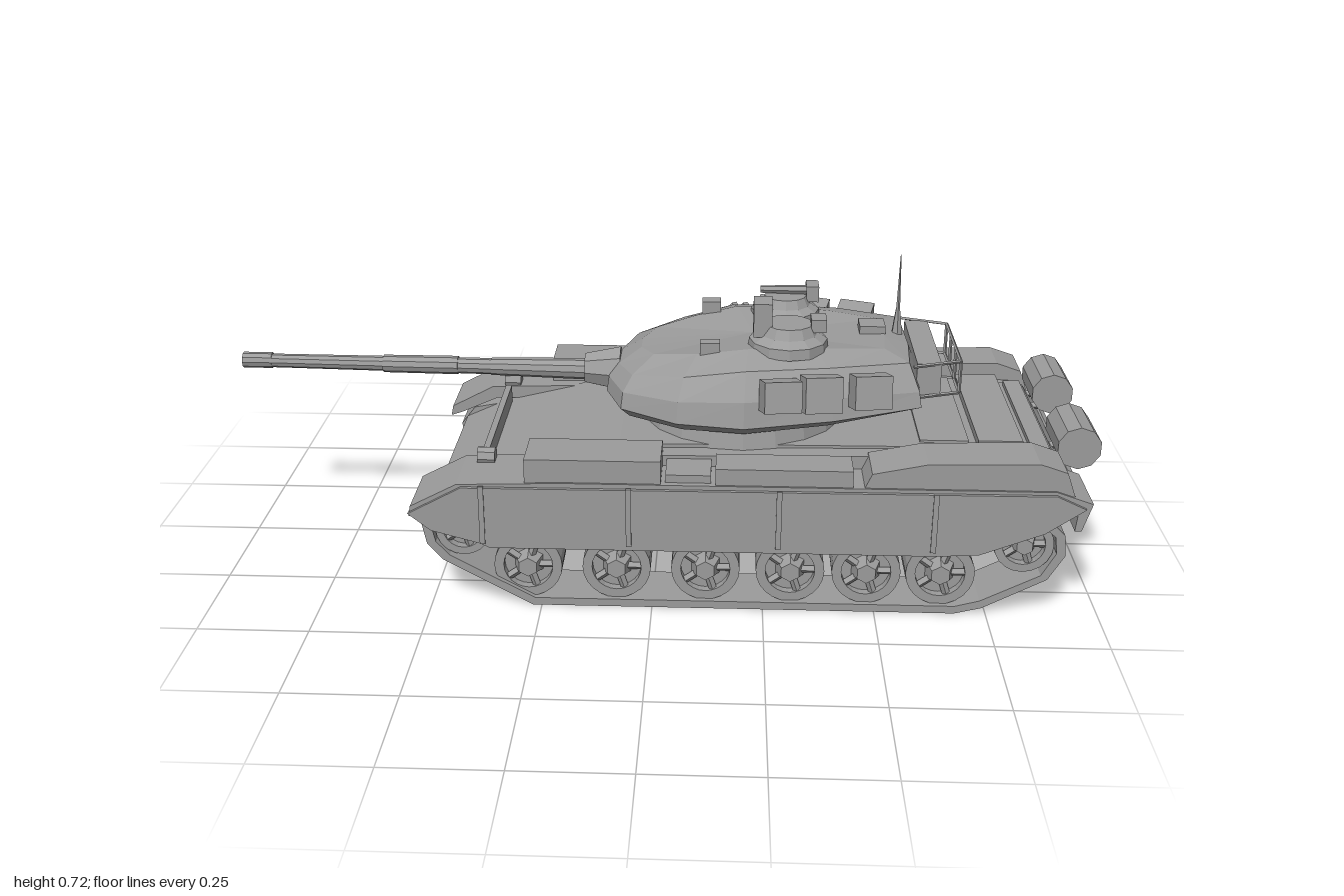
import * as THREE from 'three';

const steel = new THREE.MeshStandardMaterial({ color: 0x9c9c9c });
steel.name = 'steel grey';

export function createModel() {
  const root = new THREE.Group();
  root.name = 'tank';

  // faceted mesh added to the model
  const add = (name, geo) => {
    const g = geo.index ? geo.toNonIndexed() : geo;
    g.computeVertexNormals();
    const m = new THREE.Mesh(g, steel);
    m.name = name;
    root.add(m);
    return m;
  };
  // box given by its min and max corners
  const box = (name, x0, x1, y0, y1, z0, z1) => {
    const m = add(name, new THREE.BoxGeometry(x1 - x0, y1 - y0, z1 - z0));
    m.position.set((x0 + x1) / 2, (y0 + y1) / 2, (z0 + z1) / 2);
    return m;
  };
  const shapeOf = pts => new THREE.Shape(pts.map(p => new THREE.Vector2(p[0], p[1])));
  // side profile pulled across a z range
  const slab = (name, pts, z0, z1, hole) => {
    const s = shapeOf(pts);
    if (hole) s.holes.push(shapeOf(hole));
    const g = new THREE.ExtrudeGeometry(s, { depth: z1 - z0, bevelEnabled: false });
    return add(name, g.translate(0, 0, z0));
  };
  const both = fn => [1, -1].forEach(fn);
  const span = (s, a, b) => (s > 0 ? [a, b] : [-b, -a]);
  // tapered bar between two points
  const rod = (name, a, b, ra, rb, n = 6) => {
    const A = new THREE.Vector3(...a), B = new THREE.Vector3(...b), d = B.clone().sub(A);
    const m = add(name, new THREE.CylinderGeometry(rb, ra, d.length(), n));
    m.position.copy(A).add(B).multiplyScalar(0.5);
    m.quaternion.setFromUnitVectors(new THREE.Vector3(0, 1, 0), d.normalize());
    return m;
  };
  // skin over stacked rings, capped at both ends
  const loft = (name, rings) => {
    const v = [], n = rings[0].length;
    const tri = (...p) => p.forEach(q => v.push(...q));
    const mid = r => [0, 1, 2].map(k => r.reduce((t, p) => t + p[k], 0) / n);
    const lo = rings[0], hi = rings[rings.length - 1];
    for (let i = 0; i < n; i++) {
      const j = (i + 1) % n;
      for (let k = 0; k + 1 < rings.length; k++) {
        const a = rings[k], b = rings[k + 1];
        tri(a[i], a[j], b[j]);
        tri(a[i], b[j], b[i]);
      }
      tri(mid(lo), lo[j], lo[i]);
      tri(mid(hi), hi[i], hi[j]);
    }
    const g = new THREE.BufferGeometry();
    g.setAttribute('position', new THREE.Float32BufferAttribute(v, 3));
    return add(name, g);
  };

  // hull
  slab('hull', [[-0.36, 0.105], [0.82, 0.105], [0.89, 0.19], [0.93, 0.29], [0.9, 0.33], [0.62, 0.35],
    [-0.08, 0.345], [-0.39, 0.27], [-0.5, 0.22], [-0.48, 0.18]], -0.225, 0.225);
  slab('upperHull', [[-0.32, 0.28], [0.9, 0.28], [0.88, 0.33], [0.6, 0.345], [-0.08, 0.335]], -0.27, 0.27);
  box('splashBoard', -0.395, -0.38, 0.25, 0.315, -0.2, 0.2);
  box('rearGrille', 0.73, 0.83, 0.33, 0.36, -0.21, 0.21);
  box('rearDeckBar', 0.85, 0.89, 0.32, 0.345, -0.21, 0.21);
  box('engineCover', 0.6, 0.71, 0.33, 0.355, -0.2, 0.2);
  rod('rearLog', [0.935, 0.275, -0.24], [0.935, 0.275, 0.24], 0.016, 0.016);

  const wheelX = [-0.28, -0.08, 0.12, 0.31, 0.48, 0.645];
  const trackOuter = [[-0.27, 0], [0.68, 0], [0.74, 0.015], [0.88, 0.09], [0.915, 0.15], [0.91, 0.2],
    [0.86, 0.25], [0.78, 0.26], [-0.4, 0.26], [-0.48, 0.245], [-0.515, 0.2], [-0.505, 0.15], [-0.47, 0.11]];
  const trackInner = [[-0.265, 0.018], [0.68, 0.018], [0.735, 0.033], [0.865, 0.1], [0.895, 0.155], [0.89, 0.195],
    [0.85, 0.23], [0.78, 0.24], [-0.4, 0.24], [-0.47, 0.228], [-0.495, 0.2], [-0.485, 0.155], [-0.455, 0.122]];

  both(s => {
    const z = (a, b) => span(s, a, b);
    slab('track', trackOuter, ...z(0.222, 0.358), trackInner);

    // road wheels, each with a rim, a dished disc and a hub
    const wheel = (name, x, y, r, n) => {
      const ring = new THREE.Shape().absarc(0, 0, r, 0, Math.PI * 2);
      ring.holes.push(new THREE.Path().absarc(0, 0, r * 0.72, 0, Math.PI * 2, true));
      const g = new THREE.ExtrudeGeometry(ring, { depth: 0.11, bevelEnabled: false, curveSegments: n });
      add(name + 'Rim', g.translate(x, y, z(0.235, 0.345)[0]));
      rod(name + 'Disc', [x, y, s * 0.24], [x, y, s * 0.325], r * 0.8, r * 0.75, n);
      rod(name + 'Hub', [x, y, s * 0.32], [x, y, s * 0.355], r * 0.5, r * 0.3, 6);
      for (let i = 0; i < 5; i++) {
        const a = i * Math.PI * 0.4, c = Math.cos(a), d = Math.sin(a);
        rod(name + 'Spoke', [x + c * r * 0.3, y + d * r * 0.3, s * 0.335],
          [x + c * r * 0.8, y + d * r * 0.8, s * 0.335], 0.009, 0.009, 4);
      }
    };
    wheelX.forEach(x => wheel('roadWheel', x, 0.093, 0.077, 12));
    wheel('idler', -0.425, 0.18, 0.062, 10);
    wheel('sprocket', 0.825, 0.168, 0.066, 10);
    box('finalDrive', 0.8, 0.9, 0.12, 0.18, ...z(0.16, 0.23));

    // fender with turned-down ends, and side skirt
    slab('fender', [[-0.54, 0.225], [-0.535, 0.25], [-0.43, 0.305], [-0.2, 0.312], [0.88, 0.312], [0.96, 0.285],
      [0.94, 0.22], [0.925, 0.22], [0.93, 0.27], [0.87, 0.285], [-0.42, 0.275], [-0.51, 0.235]], ...z(0.215, 0.375));
    slab('skirt', [[-0.54, 0.235], [-0.49, 0.195], [-0.38, 0.165], [-0.36, 0.155], [0.62, 0.155], [0.72, 0.16],
      [0.86, 0.215], [0.945, 0.275], [0.88, 0.305], [-0.42, 0.3]], ...z(0.367, 0.383));
    [-0.375, -0.05, 0.28, 0.62].forEach(x => box('skirtStrap', x - 0.006, x + 0.006, 0.165, 0.305, ...z(0.38, 0.386)));

    // stowage along the fender
    box('fenderBox', -0.28, 0.02, 0.305, 0.365, ...z(0.25, 0.37));
    box('fenderBox', 0.14, 0.44, 0.305, 0.35, ...z(0.285, 0.37));
    box('fenderTray', 0.03, 0.13, 0.305, 0.33, ...z(0.27, 0.36));
    slab('rearStowage', [[0.46, 0.3], [0.92, 0.3], [0.9, 0.355], [0.84, 0.375], [0.6, 0.37], [0.48, 0.345]], ...z(0.25, 0.37));
    rod('headlamp', [-0.4, 0.315, s * 0.24], [-0.36, 0.315, s * 0.24], 0.022, 0.022, 8);

    // rear fuel drums on brackets
    rod('fuelDrum', [0.95, 0.357, s * 0.09], [0.95, 0.357, s * 0.238], 0.05, 0.05, 10);
    [0.12, 0.2].forEach(q => rod('drumBracket', [0.88, 0.31, s * q], [0.95, 0.32, s * q], 0.01, 0.01, 4));
  });

  // turret: plan [x, z] counter-clockwise from above
  const plan = [[0.61, 0.04], [0.605, -0.19], [0.45, -0.265], [0.3, -0.29], [0.17, -0.29], [0.04, -0.255], [-0.08, -0.18],
    [-0.12, -0.06], [-0.12, 0.05], [-0.08, 0.165], [0.05, 0.25], [0.2, 0.275], [0.4, 0.24], [0.6, 0.19]];
  const ring = (k, yOf) => plan.map(([x, z]) => [0.24 + (x - 0.24) * (0.5 + k / 2), yOf(x), -0.01 + (z + 0.01) * k]);
  const lerp = THREE.MathUtils.lerp;
  const rear = x => THREE.MathUtils.clamp((x - 0.3) / 0.3, 0, 1);
  const front = x => THREE.MathUtils.clamp((x + 0.12) / 0.3, 0, 1);
  loft('turretShell', [
    ring(0.88, x => 0.38 + 0.035 * rear(x)),
    ring(1, x => 0.405 + 0.025 * rear(x)),
    ring(0.97, x => lerp(0.44, 0.465, front(x))),
    ring(0.84, x => lerp(0.47, 0.525, front(x))),
    ring(0.55, x => lerp(0.505, 0.548, front(x)) - 0.01 * rear(x)),
  ]);
  const base = add('turretRing', new THREE.CylinderGeometry(0.23, 0.24, 0.06, 20));
  base.position.set(0.2, 0.365, 0);

  // gun, with its sleeve, evacuator and mantlet
  rod('gunBarrel', [-1, 0.442, -0.018], [-0.14, 0.435, -0.01], 0.016, 0.021, 10);
  rod('muzzle', [-1, 0.442, -0.018], [-0.93, 0.442, -0.018], 0.019, 0.019, 10);
  rod('evacuator', [-0.66, 0.439, -0.015], [-0.48, 0.438, -0.014], 0.021, 0.022, 10);
  rod('gunSleeve', [-0.4, 0.437, -0.013], [-0.15, 0.435, -0.01], 0.021, 0.026, 10);
  rod('mantlet', [-0.175, 0.438, -0.01], [-0.09, 0.438, -0.01], 0.037, 0.055, 8);

  // commander and loader hatches
  const hatch = (name, x, z, r, y, h) => {
    const p = [[0, 0], [r, 0], [r * 0.97, h * 0.4], [r * 0.72, h * 0.62], [r * 0.6, h], [0, h]];
    const g = new THREE.LatheGeometry(p.map(q => new THREE.Vector2(...q)), 12);
    add(name, g).position.set(x, y, z);
  };
  hatch('commanderCupola', 0.3, 0.095, 0.092, 0.535, 0.06);
  hatch('loaderHatch', 0.3, -0.14, 0.084, 0.53, 0.055);
  box('commanderSight', 0.22, 0.262, 0.57, 0.648, 0.066, 0.128);
  box('cupolaPeriscope', 0.35, 0.385, 0.58, 0.61, 0.07, 0.12);
  box('loaderPeriscope', 0.35, 0.38, 0.57, 0.608, -0.185, -0.13);
  rod('roofGun', [0.24, 0.595, -0.15], [0.37, 0.595, -0.15], 0.009, 0.012);
  box('roofSight', 0.1, 0.145, 0.51, 0.562, -0.18, -0.145);
  box('roofSight', 0.1, 0.145, 0.51, 0.558, 0.11, 0.14);
  box('roofVent', 0.47, 0.53, 0.53, 0.555, -0.06, 0.0);

  // stowage bins following the turret cheeks
  both(s => [[0.28, 0.272, 0.05], [0.37, 0.255, 0.06], [0.48, 0.235, 0.055]].forEach(([x, z, h]) => {
    const m = add('turretBin', new THREE.BoxGeometry(0.085, h + 0.02, 0.05));
    m.position.set(x, 0.485, s > 0 ? z : -z - 0.025);
    m.rotation.set(s * -0.2, s * 0.24, 0);
  }));
  // smoke tubes on the right cheek
  for (let i = 0; i < 4; i++) {
    const x = 0.2 + i * 0.028;
    rod('smokeTube', [x, 0.47, -0.27], [x - 0.025, 0.5, -0.31], 0.013, 0.013);
  }

  // rear turret rack
  [0.445, 0.52].forEach(y => {
    rod('rackRail', [0.69, y, -0.13], [0.69, y, 0.13], 0.004, 0.004, 4);
    both(s => rod('rackRail', [0.58, y, s * 0.17], [0.69, y, s * 0.13], 0.004, 0.004, 4));
  });
  [-0.13, -0.045, 0.045, 0.13].forEach(z => rod('rackPost', [0.69, 0.445, z], [0.69, 0.52, z], 0.004, 0.004, 4));
  box('rackBin', 0.59, 0.645, 0.445, 0.52, -0.15, 0.15);

  // antenna
  rod('antennaBase', [0.56, 0.525, -0.035], [0.56, 0.59, -0.035], 0.014, 0.005);
  rod('antenna', [0.56, 0.58, -0.035], [0.56, 0.72, -0.035], 0.005, 0.001, 5);

  return root;
}
